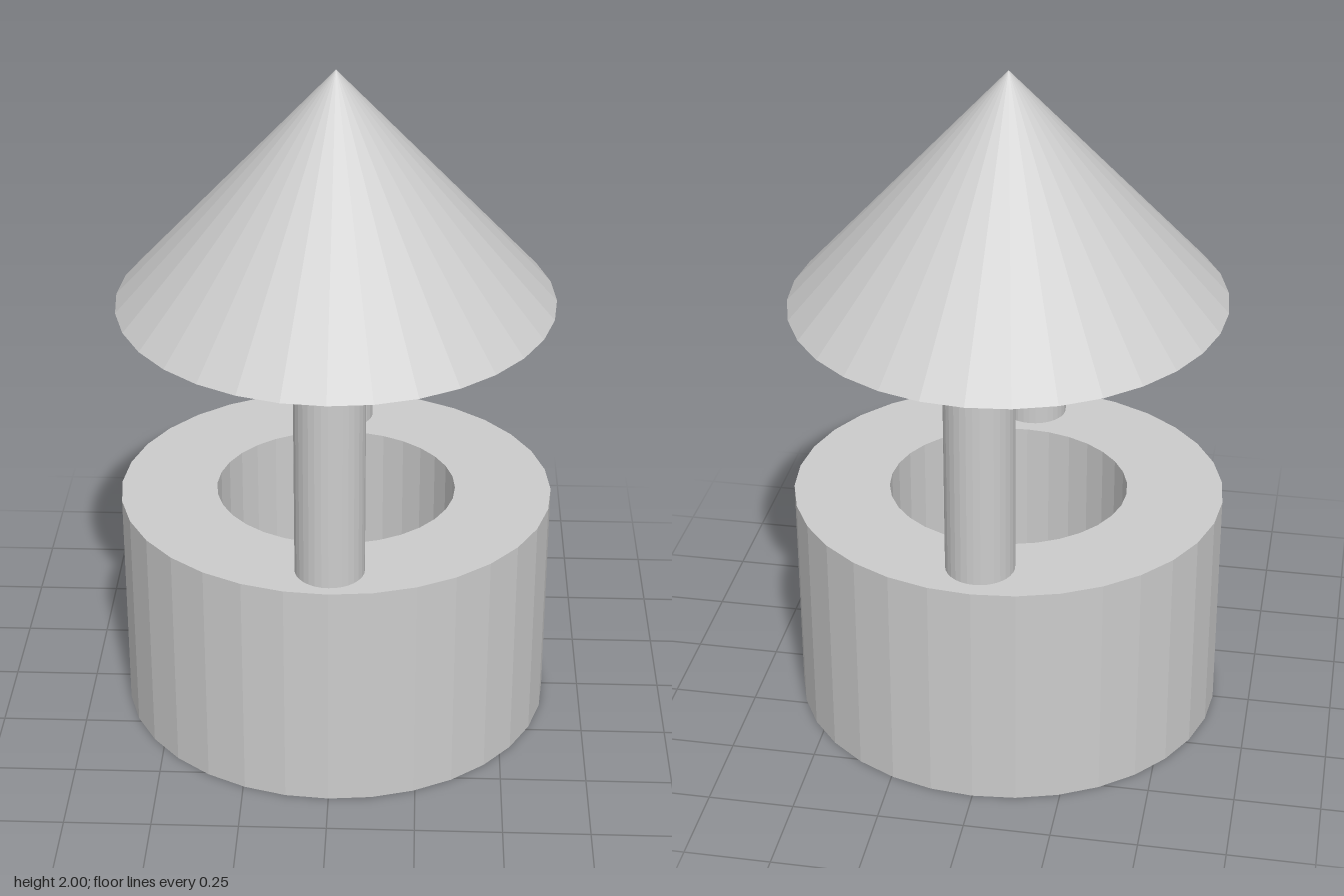
import * as THREE from 'three';

const SIDES = 32;

export function createModel() {
  const group = new THREE.Group();
  const stone = new THREE.MeshStandardMaterial({ color: 0xcccccc });
  stone.name = 'plain grey';
  stone.flatShading = true;

  const add = (name, geometry, y, z = 0) => {
    const mesh = new THREE.Mesh(geometry, stone);
    mesh.name = name;
    mesh.position.set(0, y, z);
    group.add(mesh);
    return mesh;
  };

  // Well wall: slightly oval ring with a closed floor
  const profile = [[0, 0], [1, 0], [1, 0.695], [0.555, 0.695], [0.555, 0.07], [0, 0.07]]
    .map(([r, y]) => new THREE.Vector2(r, y));
  add('wellWall', new THREE.LatheGeometry(profile, SIDES).scale(0.64, 1, 0.612), 0);

  // Two round posts standing on the rim, front and back
  const bottom = 0.69, top = 1.32;
  for (const [name, z] of [['frontPost', 0.48], ['backPost', -0.464]]) {
    add(name, new THREE.CylinderGeometry(0.099, 0.099, top - bottom, SIDES), (top + bottom) / 2, z);
  }

  // Conical roof, a little longer front to back
  const eaves = 1.315;
  add('roof', new THREE.ConeGeometry(1, 2 - eaves, SIDES).scale(0.632, 1, 0.676), (2 + eaves) / 2, 0.002);

  return group;
}
